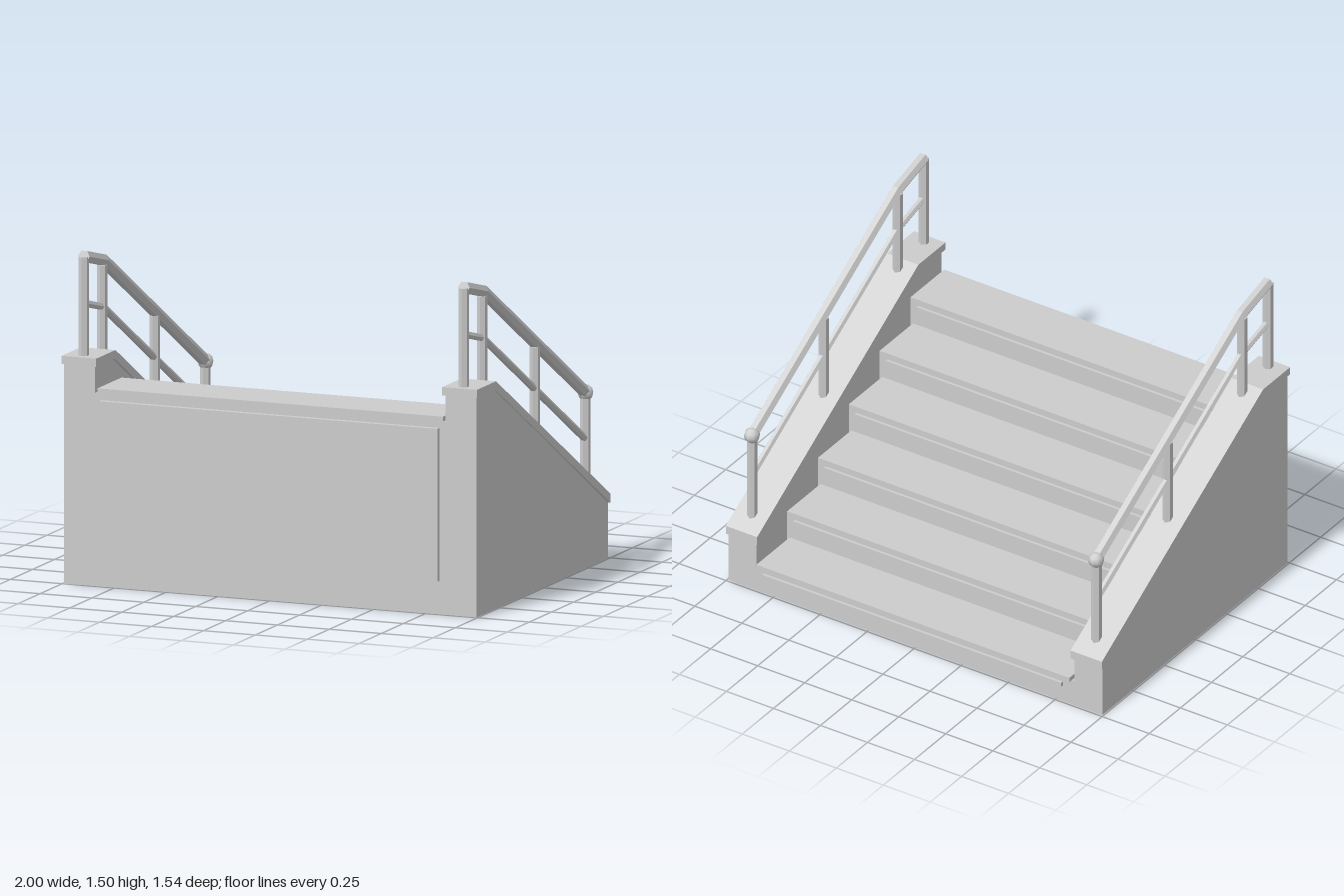
import * as THREE from 'three';

const concrete = new THREE.MeshStandardMaterial({ color: 0xcccccc });
concrete.name = 'pale grey';

function add(parent, name, geometry, x = 0, y = 0, z = 0) {
  const mesh = new THREE.Mesh(geometry, concrete);
  mesh.name = name;
  mesh.position.set(x, y, z);
  parent.add(mesh);
}

// Side profile given as [z, y] points, extruded to a width along x
function profile(points, width) {
  const shape = new THREE.Shape(points.map(([z, y]) => new THREE.Vector2(z, y)));
  const g = new THREE.ExtrudeGeometry(shape, { depth: width, bevelEnabled: false });
  g.translate(0, 0, -width / 2);
  return g.rotateY(-Math.PI / 2);
}

// Six-sided bar following [z, y] points toward -z, with mitred corners and closed ends
function bar(path, r) {
  const pts = path.map(([z, y]) => new THREE.Vector2(z, y));
  const dirs = pts.slice(1).map((p, i) => p.clone().sub(pts[i]).normalize());
  const rings = pts.map((p, i) => {
    const a = dirs[Math.max(i - 1, 0)], b = dirs[Math.min(i, dirs.length - 1)];
    const t = a.clone().add(b).normalize();
    const stretch = 1 / t.dot(a);
    const ring = [];
    for (let k = 0; k < 6; k++) {
      const u = Math.cos(k * Math.PI / 3) * r;
      const v = Math.sin(k * Math.PI / 3) * r * stretch;
      ring.push([u, p.y - t.x * v, p.x + t.y * v]);
    }
    return ring;
  });
  const out = [];
  const tri = (a, b, c) => out.push(...a, ...b, ...c);
  for (let i = 0; i < rings.length - 1; i++) {
    for (let k = 0; k < 6; k++) {
      const n = (k + 1) % 6, A = rings[i], B = rings[i + 1];
      tri(A[k], B[k], B[n]);
      tri(A[k], B[n], A[n]);
    }
  }
  const first = rings[0], last = rings[rings.length - 1];
  for (let k = 1; k < 5; k++) {
    tri(first[0], first[k], first[k + 1]);
    tri(last[0], last[k + 1], last[k]);
  }
  const g = new THREE.BufferGeometry();
  g.setAttribute('position', new THREE.Float32BufferAttribute(out, 3));
  g.computeVertexNormals();
  return g;
}

// Upright six-sided post with flat faces
function postGeometry(height) {
  const g = new THREE.CylinderGeometry(0.0235, 0.0235, height, 6).toNonIndexed();
  g.computeVertexNormals();
  return g;
}

export function createModel() {
  const model = new THREE.Group();
  model.name = 'steps';

  // Stair body, rising toward +z, one slab thickness below the treads
  const count = 6, rise = 0.149, run = 0.247, start = -0.74, back = 0.745, slab = 0.022;
  const stair = [[back, 0], [start, 0]];
  for (let i = 0; i < count; i++) {
    const z = start + i * run, y = (i + 1) * rise - slab;
    stair.push([z, y], [i < count - 1 ? z + run : back, y]);
  }
  add(model, 'stairBody', profile(stair, 1.7));

  // Tread slabs with an overhanging nose, and the thin strip below each one
  for (let i = 0; i < count; i++) {
    const z = start + i * run, y = (i + 1) * rise;
    const z0 = z - 0.02, z1 = i < count - 1 ? z + run + 0.005 : back;
    add(model, 'tread', new THREE.BoxGeometry(1.664, slab, z1 - z0), 0, y - slab / 2, (z0 + z1) / 2);
    add(model, 'nosingStrip', new THREE.BoxGeometry(1.59, 0.02, 0.014), 0, y - 0.044, z - 0.023);
  }

  // Raised panel on the tall face
  add(model, 'panel', new THREE.BoxGeometry(1.63, 0.69, 0.03), 0, 0.497, 0.755);

  const wall = [[back, 0], [back, 0.994], [0.545, 0.994], [start, 0.25], [start, 0]];
  const cap = [[0.757, 0.993], [0.757, 1.03], [0.54, 1.03], [-0.752, 0.29], [-0.752, 0.249], [0.55, 0.993]];
  const posts = [[0.707, 1.02, 1.475], [0.499, 0.99, 1.402], [-0.096, 0.65, 1.066], [-0.667, 0.32, 0.75]];

  for (const side of [1, -1]) {
    const flank = new THREE.Group();
    flank.name = side > 0 ? 'leftFlank' : 'rightFlank';
    model.add(flank);

    // Side wall with its overhanging sloped cap
    add(flank, 'sideWall', profile(wall, 0.149), side * 0.9195);
    add(flank, 'wallCap', profile(cap, 0.167), side * 0.9165);

    // Railing
    const rail = new THREE.Group();
    rail.name = 'railing';
    rail.position.x = side * 0.915;
    flank.add(rail);
    for (const [z, y0, y1] of posts) {
      add(rail, 'post', postGeometry(y1 - y0), 0, (y0 + y1) / 2, z);
    }
    add(rail, 'handrail', bar([[0.705, 1.477], [0.49, 1.422], [-0.67, 0.755]], 0.028));
    add(rail, 'midRail', bar([[0.707, 1.266], [0.49, 1.21], [-0.667, 0.546]], 0.017));
    add(rail, 'endBall', new THREE.SphereGeometry(0.037, 8, 6), 0, 0.755, -0.67);
  }
  return model;
}
